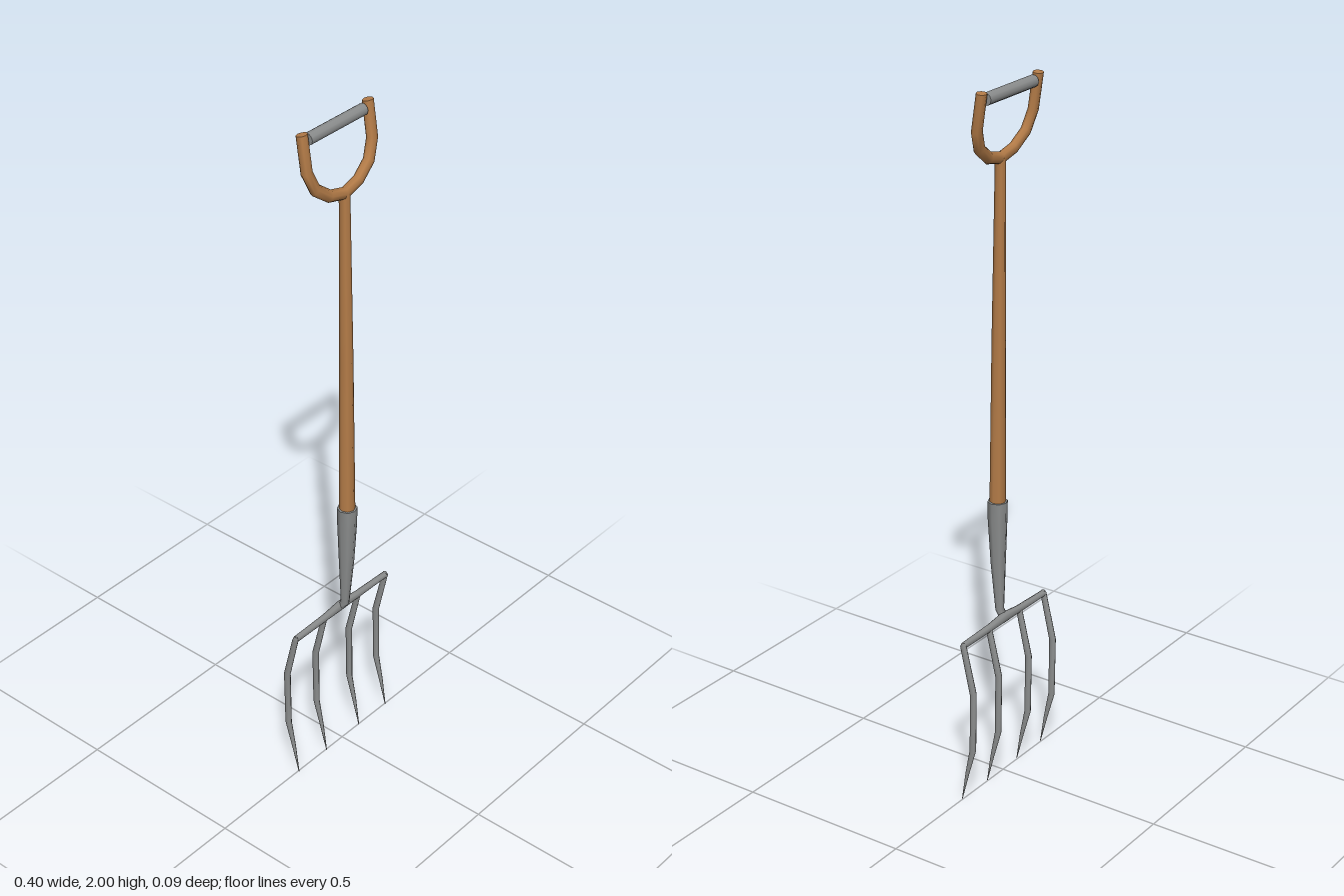
import * as THREE from 'three';

const wood = new THREE.MeshStandardMaterial({ color: 0xb47c48 });
wood.name = 'wood';
const metal = new THREE.MeshStandardMaterial({ color: 0x8b8d8d });
metal.name = 'metal';

// Sweep an elliptical section along stations [x, y, z, a, b];
// a is the half-width along ref, b the half-width across it.
function sweep(name, stations, ref, sides, material) {
  const pts = stations.map((s) => new THREE.Vector3(s[0], s[1], s[2]));
  const n = pts.length;
  const pos = [];
  const idx = [];
  const rings = pts.map((p, i) => {
    const before = pts[i].clone().sub(pts[Math.max(i - 1, 0)]).normalize();
    const after = pts[Math.min(i + 1, n - 1)].clone().sub(p).normalize();
    const t = before.clone().add(after).normalize();
    const mitre = 1 / Math.max(0.7, t.dot(i < n - 1 ? after : before));
    const u = ref.clone().addScaledVector(t, -ref.dot(t)).normalize();
    const v = t.clone().cross(u);
    const ring = [];
    for (let j = 0; j < sides; j++) {
      const k = (j / sides) * Math.PI * 2;
      ring.push(p.clone()
        .addScaledVector(u, Math.cos(k) * stations[i][3])
        .addScaledVector(v, Math.sin(k) * stations[i][4] * mitre));
    }
    return ring;
  });
  rings.forEach((ring) => ring.forEach((p) => pos.push(p.x, p.y, p.z)));
  for (let i = 0; i < n - 1; i++) {
    for (let j = 0; j < sides; j++) {
      const a = i * sides + j;
      const b = i * sides + ((j + 1) % sides);
      idx.push(a, b, b + sides, a, b + sides, a + sides);
    }
  }
  // Flat end caps with their own vertices
  [0, n - 1].forEach((end) => {
    const c = pos.length / 3;
    [pts[end], ...rings[end]].forEach((p) => pos.push(p.x, p.y, p.z));
    for (let j = 0; j < sides; j++) {
      const a = c + 1 + j;
      const b = c + 1 + ((j + 1) % sides);
      if (end) idx.push(c, a, b);
      else idx.push(c, b, a);
    }
  });
  const geo = new THREE.BufferGeometry();
  geo.setAttribute('position', new THREE.Float32BufferAttribute(pos, 3));
  geo.setIndex(idx);
  geo.computeVertexNormals();
  const mesh = new THREE.Mesh(geo, material);
  mesh.name = name;
  return mesh;
}

export function createModel() {
  const group = new THREE.Group();
  group.name = 'gardenFork';
  const X = new THREE.Vector3(1, 0, 0);
  const Y = new THREE.Vector3(0, 1, 0);

  // Wooden shaft, thinner toward the top
  group.add(sweep('shaft', [
    [0, 0.8, 0.018, 0.022, 0.023],
    [0, 1.3, 0.014, 0.019, 0.019],
    [0, 1.8, 0.008, 0.015, 0.014],
  ], X, 8, wood));

  // Metal socket that narrows and bends back into the crossbar
  group.add(sweep('socket', [
    [0, 0.484, -0.004, 0.014, 0.009],
    [0, 0.51, 0.011, 0.011, 0.013],
    [0, 0.65, 0.016, 0.021, 0.021],
    [0, 0.78, 0.018, 0.027, 0.027],
    [0, 0.835, 0.018, 0.028, 0.028],
  ], X, 8, metal));

  // D-shaped handle, leaning back
  const lean = (y) => 0.008 - (y - 1.797) * 0.15;
  const half = [[0.055, 1.812], [0.102, 1.847], [0.124, 1.9], [0.124, 2.0]];
  const outline = [
    ...half.map(([x, y]) => [-x, y]).reverse(), [0, 1.798], ...half,
  ];
  group.add(sweep('handleBow',
    outline.map(([x, y]) => [x, y, lean(y), 0.0135, 0.0165]),
    new THREE.Vector3(0, 0.15, 1).normalize(), 8, wood));

  // Grip across the top of the handle
  const grip = new THREE.Mesh(new THREE.CylinderGeometry(0.0165, 0.0165, 0.21, 10), metal);
  grip.name = 'grip';
  grip.rotation.z = Math.PI / 2;
  grip.position.set(0, 1.98, -0.021);
  group.add(grip);

  // Crossbar, thicker at the middle
  group.add(sweep('crossbar', [
    [-0.19, 0.483, -0.004, 0.009, 0.009],
    [-0.07, 0.485, -0.004, 0.011, 0.0095],
    [0, 0.489, -0.004, 0.016, 0.011],
    [0.07, 0.485, -0.004, 0.011, 0.0095],
    [0.19, 0.483, -0.004, 0.009, 0.009],
  ], Y, 8, metal));

  // Four curved tines with pointed tips
  [-0.192, -0.072, 0.072, 0.192].forEach((x, i) => {
    group.add(sweep('tine' + (i + 1), [
      [x, 0.003, 0.003, 0.001, 0.001],
      [x, 0.09, -0.015, 0.005, 0.006],
      [x, 0.17, -0.034, 0.0075, 0.01],
      [x, 0.345, -0.036, 0.008, 0.0105],
      [x, 0.482, -0.004, 0.008, 0.009],
      [x * 0.99, 0.491, -0.004, 0.005, 0.006],
    ], X, 8, metal));
  });

  return group;
}
